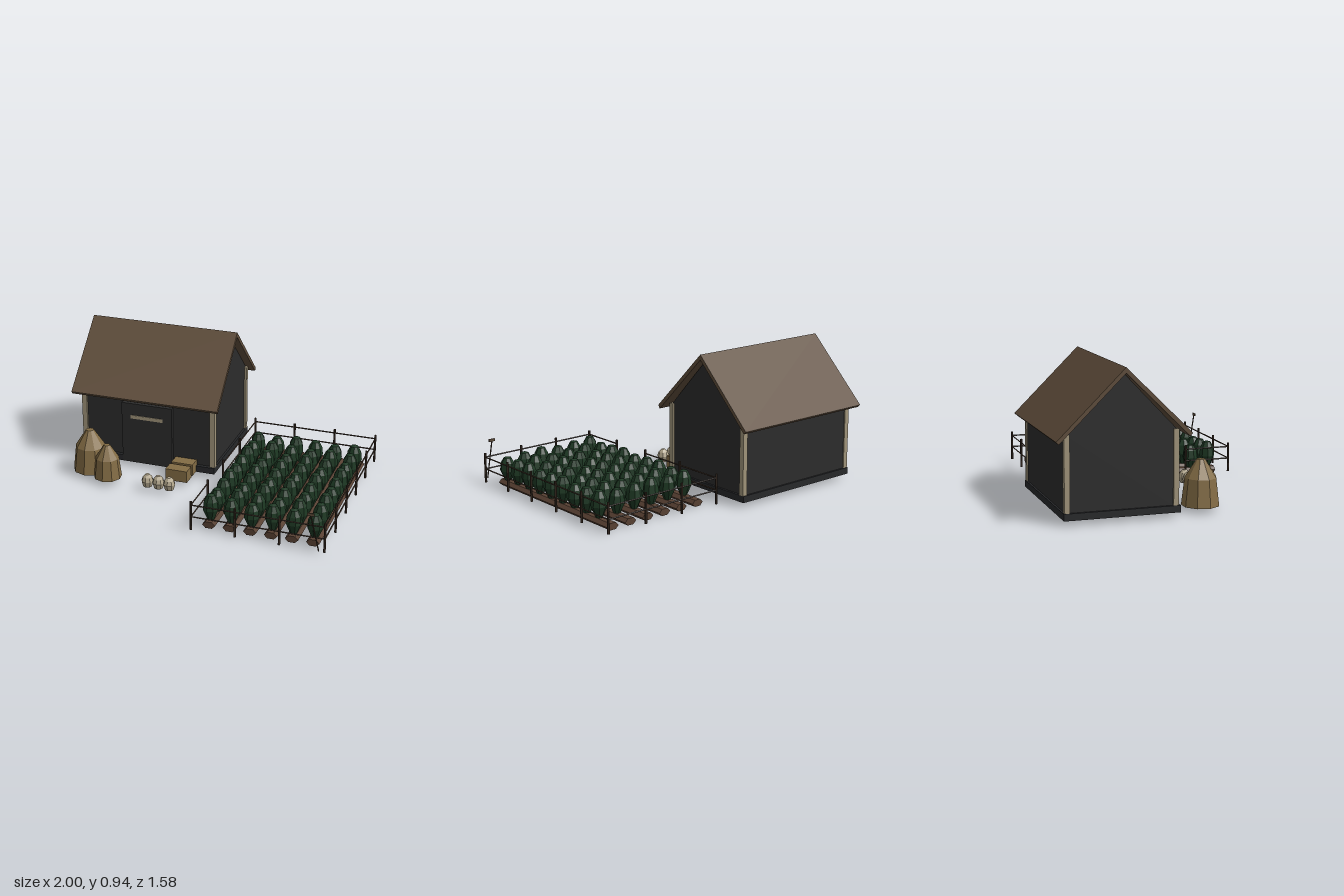
import * as THREE from 'three';

const mat = (name, color) => {
  const m = new THREE.MeshStandardMaterial({ color, flatShading: true });
  m.name = name;
  return m;
};

export function createModel() {
  const M = {
    wall: mat('charcoal boards', 0x2c2c2c),
    stone: mat('dark stone', 0x27282a),
    roof: mat('brown roof', 0x5e4c3a),
    trim: mat('pale trim', 0xa0947a),
    straw: mat('straw', 0x836c45),
    leaf: mat('dark green leaf', 0x1d3823),
    soil: mat('brown soil', 0x574032),
    fence: mat('dark fence wood', 0x3c2e24),
    sack: mat('pale sack', 0xb0a48a),
  };
  const model = new THREE.Group();
  model.name = 'farmstead';

  const group = (name) => {
    const g = new THREE.Group();
    g.name = name;
    model.add(g);
    return g;
  };
  const add = (parent, name, geometry, material, x = 0, y = 0, z = 0) => {
    const mesh = new THREE.Mesh(geometry, material);
    mesh.name = name;
    mesh.position.set(x, y, z);
    parent.add(mesh);
    return mesh;
  };
  // Box given by its limits on each axis
  const box = (parent, name, material, [x0, x1], [y0, y1], [z0, z1]) =>
    add(parent, name, new THREE.BoxGeometry(x1 - x0, y1 - y0, z1 - z0), material,
      (x0 + x1) / 2, (y0 + y1) / 2, (z0 + z1) / 2);
  // Outline in (z, y) extruded along x
  const alongX = (points, x0, x1) =>
    new THREE.ExtrudeGeometry(new THREE.Shape(points.map(([z, y]) => new THREE.Vector2(z, y))),
      { depth: x1 - x0, bevelEnabled: false }).rotateY(-Math.PI / 2).translate(x1, 0, 0);
  const lathe = (points, sides) =>
    new THREE.LatheGeometry(points.map(([r, y]) => new THREE.Vector2(r, y)), sides);
  // Round bar between two points
  const bar = (parent, name, material, a, b, r, sides = 5) => {
    const p = new THREE.Vector3(...a), q = new THREE.Vector3(...b);
    const d = q.clone().sub(p);
    const mesh = add(parent, name, new THREE.CylinderGeometry(r, r, d.length(), sides), material);
    mesh.position.copy(p).add(q).multiplyScalar(0.5);
    mesh.quaternion.setFromUnitVectors(new THREE.Vector3(0, 1, 0), d.normalize());
    return mesh;
  };

  // Barn
  const barn = group('barn');
  box(barn, 'plinth', M.stone, [-0.96, 0.015], [0.033, 0.077], [-0.735, 0]);
  add(barn, 'walls', alongX([[-0.025, 0.06], [-0.025, 0.55], [-0.36, 0.902], [-0.722, 0.55], [-0.722, 0.06]],
    -0.945, 0.0), M.wall);
  add(barn, 'roof', alongX([[0.06, 0.528], [-0.36, 0.942], [-0.79, 0.52], [-0.773, 0.503],
    [-0.36, 0.907], [0.043, 0.508]], -1, 0.055), M.roof);
  for (const x of [-0.955, -0.02])
    for (const z of [-0.73, -0.045])
      box(barn, 'cornerPost', M.trim, [x, x + 0.035], [0.077, 0.55], [z, z + 0.035]);
  box(barn, 'door', M.wall, [-0.655, -0.29], [0.034, 0.475], [-0.03, 0.002]);
  box(barn, 'doorBar', M.trim, [-0.59, -0.355], [0.365, 0.39], [0, 0.006]);

  // Straw stacks
  const stacks = group('strawStacks');
  for (const [x, z, r, top] of [[-0.815, 0.183, 0.122, 0.325], [-0.66, 0.258, 0.096, 0.268]]) {
    const h = top - 0.033;
    add(stacks, 'strawStack', lathe([[0, 0], [r, 0], [r * 0.83, h * 0.6], [r * 0.22, h], [0, h]], 9),
      M.straw, x, 0.033, z);
  }

  // Crates
  const crates = group('crates');
  for (const z of [-0.02, 0.092])
    box(crates, 'crate', M.straw, [-0.27, -0.117], [0.033, 0.115], [z, z + 0.088]);

  // Small tied sacks
  const sacks = group('sacks');
  const sackShape = lathe([[0, 0], [0.03, 0], [0.042, 0.04], [0.032, 0.068], [0.014, 0.088], [0, 0.088]], 8);
  for (const x of [-0.35, -0.272, -0.195]) add(sacks, 'sack', sackShape, M.sack, x, 0.033, 0.305);

  // Raised beds with rows of leafy plants
  const field = group('field');
  const bedShape = new THREE.CylinderGeometry(1, 1, 1.185, 6)
    .rotateY(Math.PI / 6).rotateX(Math.PI / 2);
  // Keep the hexagon's points at the sides
  const hex = bedShape.attributes.position;
  const widest = Math.max(...Array.from({ length: hex.count }, (_, i) => hex.getX(i)));
  const tallest = Math.max(...Array.from({ length: hex.count }, (_, i) => hex.getY(i)));
  bedShape.scale(0.043 / widest, 0.022 / tallest, 1);
  const plantShape = lathe([[0, 0], [0.02, 0], [0.053, 0.073], [0.046, 0.125], [0.026, 0.16], [0, 0.168]], 8);
  for (let i = 0; i < 6; i++) {
    const x = 0.895 - i * 0.137;
    add(field, 'bed', bedShape, M.soil, x, 0.022, 0.075);
    for (let j = 0; j < 9; j++) {
      const plant = add(field, 'plant', plantShape, M.leaf, x, 0.038, 0.62 - j * 0.125);
      plant.scale.y = 1 + 0.055 * ((i + j) % 3);
      plant.rotation.y = (i * 5 + j * 3) * 0.4;
    }
  }

  // Fence with an opening on its right side
  const fence = group('fence');
  const [L, R, B, F] = [0.12, 0.99, -0.595, 0.745];
  const run = (x0, z0, x1, z1, bays) => {
    for (let i = 0; i <= bays; i++) {
      const t = i / bays, x = x0 + (x1 - x0) * t, z = z0 + (z1 - z0) * t;
      bar(fence, 'fencePost', M.fence, [x, 0.015, z], [x, 0.217, z], 0.008, 6);
    }
    for (const y of [0.108, 0.19])
      bar(fence, 'fenceRail', M.fence, [x0, y, z0], [x1, y, z1], 0.005, 4);
  };
  run(L, B, R, B, 3);
  run(L, F, R, F, 3);
  run(R, B, R, F, 5);
  run(L, B, L, 0.12, 2);
  run(L, 0.43, L, F, 1);

  // Hoe leaning beside the fence
  const hoe = group('hoe');
  bar(hoe, 'hoeHandle', M.fence, [0.96, 0.033, 0.77], [0.906, 0.285, 0.786], 0.0045);
  box(hoe, 'hoeHead', M.roof, [0.885, 0.93], [0.275, 0.293], [0.782, 0.79]);

  return model;
}
